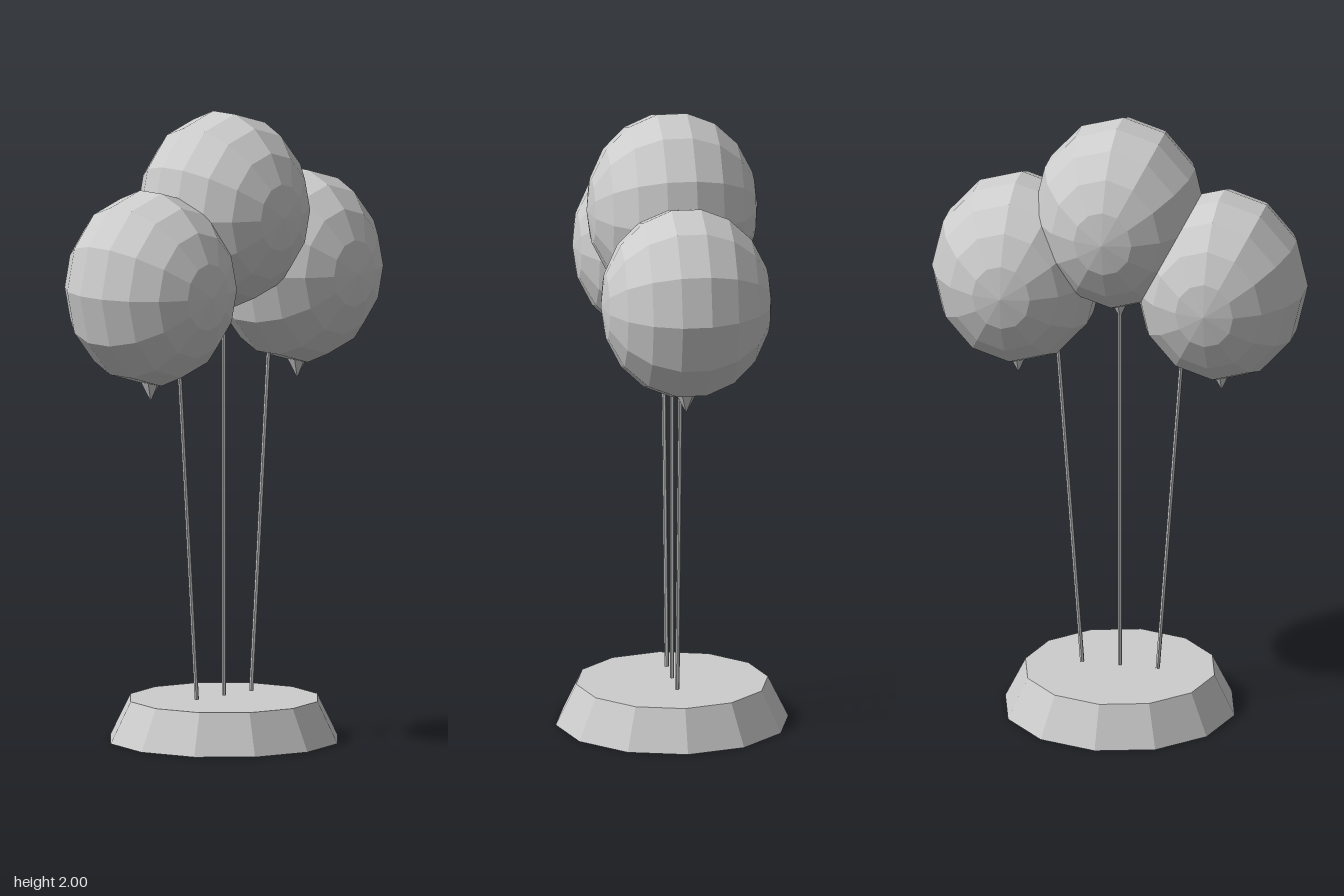
import * as THREE from 'three';

export function createModel() {
  const group = new THREE.Group();
  group.name = 'balloonBunch';
  const grey = new THREE.MeshStandardMaterial({ color: 0xcccccc, flatShading: true });
  grey.name = 'light grey';

  const add = (name, geometry, x = 0, y = 0) => {
    const mesh = new THREE.Mesh(geometry, grey);
    mesh.name = name;
    mesh.position.set(x, y, 0);
    group.add(mesh);
    return mesh;
  };

  // Tapered twelve-sided weight
  add('base', new THREE.CylinderGeometry(0.305, 0.37, 0.132, 12), 0, 0.066);

  // Each balloon: centre, and the string's two ends as [x, y]
  const balloons = [
    { side: 'centre', x: 0, y: 1.693, from: [0, 0.14], to: [0, 1.45] },
    { side: 'left', x: 0.328, y: 1.477, from: [0.122, 0.14], to: [0.206, 1.3] },
    { side: 'right', x: -0.328, y: 1.477, from: [-0.122, 0.14], to: [-0.206, 1.3] },
  ];

  for (const { side, x, y, from, to } of balloons) {
    // Balloon with its poles facing front and back
    const ball = new THREE.SphereGeometry(1, 12, 9);
    ball.rotateX(Math.PI / 2).scale(0.273, 0.312, 0.272);
    add(side + 'Balloon', ball, x, y);

    // Knot pointing down
    const knot = new THREE.ConeGeometry(0.036, 0.07, 6);
    knot.rotateX(Math.PI);
    add(side + 'Knot', knot, x, y - 0.327);

    // Straight string, leaning outwards on the sides
    const dx = to[0] - from[0];
    const dy = to[1] - from[1];
    const string = add(
      side + 'String',
      new THREE.CylinderGeometry(0.007, 0.007, Math.hypot(dx, dy), 6),
      (from[0] + to[0]) / 2,
      (from[1] + to[1]) / 2
    );
    string.rotation.z = -Math.atan2(dx, dy);
  }

  return group;
}
